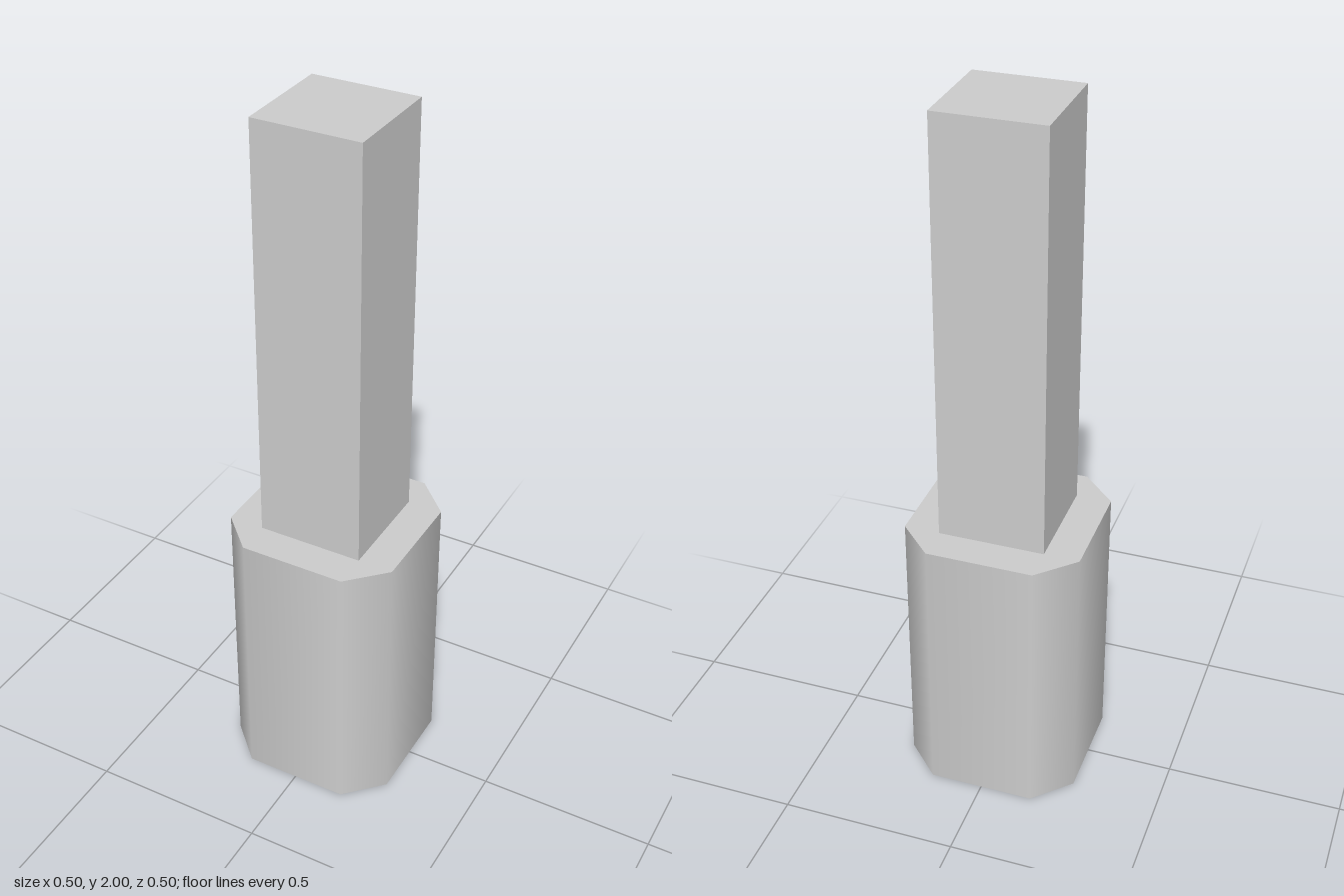
import * as THREE from 'three';

export function createModel() {
  const model = new THREE.Group();
  const material = new THREE.MeshStandardMaterial({ color: 0xcccccc });

  const add = (name, geometry, y) => {
    const mesh = new THREE.Mesh(geometry, material);
    mesh.name = name;
    mesh.position.y = y;
    model.add(mesh);
  };

  // Grip: eight-sided cylinder pushed out to a square with cut corners, smooth sides
  const half = 0.25, flat = 0.15;
  const grip = new THREE.CylinderGeometry(half, half, 0.8, 8, 1, false, Math.PI / 8);
  const p = grip.attributes.position;
  for (let i = 0; i < p.count; i++) {
    const x = p.getX(i), z = p.getZ(i);
    if (Math.hypot(x, z) < 0.01) continue; // cap centres stay
    const wide = Math.abs(x) > Math.abs(z);
    p.setX(i, Math.sign(x) * (wide ? half : flat));
    p.setZ(i, Math.sign(z) * (wide ? flat : half));
  }
  add('grip', grip, 0.4);

  // Square shaft standing on the grip
  add('shaft', new THREE.BoxGeometry(0.3, 1.2, 0.3), 1.4);

  return model;
}
